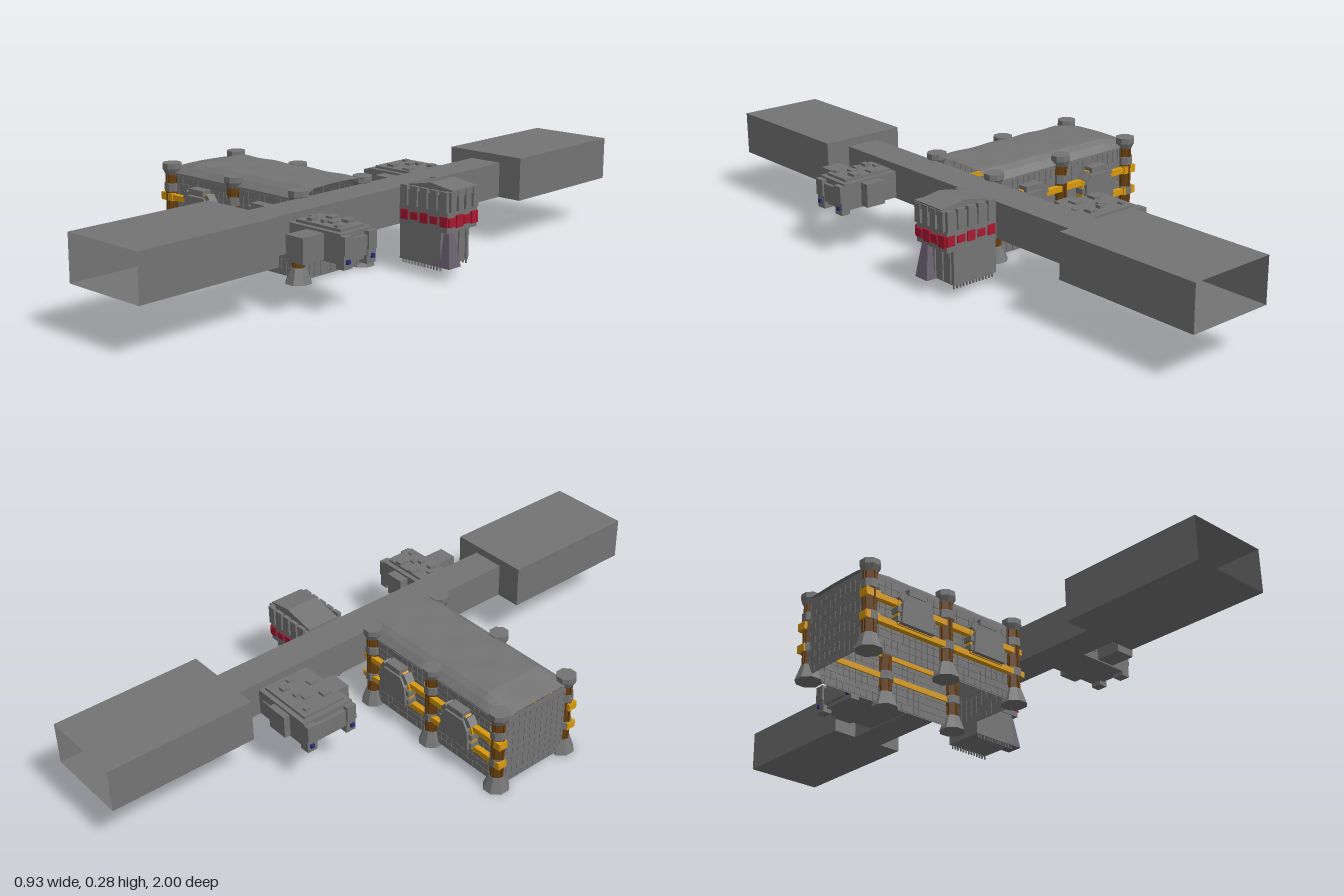
import * as THREE from 'three';
import { mergeGeometries } from 'three/addons/utils/BufferGeometryUtils.js';

const mat = (color, side = THREE.FrontSide) =>
  new THREE.MeshStandardMaterial({ color, flatShading: true, side });
const grey = mat(0x747474), thin = mat(0x747474, THREE.DoubleSide);
const yellow = mat(0xd8980c), brown = mat(0x68400f), red = mat(0xa81830), blue = mat(0x2c2c78), mauve = mat(0x6a6270);

function add(parent, name, geo, material = grey, x = 0, y = 0, z = 0) {
  const m = new THREE.Mesh(geo, material);
  m.name = name;
  m.position.set(x, y, z);
  parent.add(m);
  return m;
}
function group(parent, name) {
  const g = new THREE.Group();
  g.name = name;
  parent.add(g);
  return g;
}
// Box given by its limits on each axis
function boxGeo(x0, x1, y0, y1, z0, z1) {
  return new THREE.BoxGeometry(x1 - x0, y1 - y0, z1 - z0)
    .translate((x0 + x1) / 2, (y0 + y1) / 2, (z0 + z1) / 2);
}
const box = (p, name, lim, m) => add(p, name, boxGeo(...lim), m);
// Box missing some faces (order +x -x +y -y +z -z)
function openBox(p, name, lim, missing) {
  const g = boxGeo(...lim), idx = Array.from(g.index.array);
  g.setIndex(idx.filter((_, i) => !missing.includes(Math.floor(i / 6))));
  g.clearGroups();
  return add(p, name, g, thin);
}
// Arch outline: straight jambs with an elliptical head
function arch(Type, cx, half, y0, spring, top) {
  const s = new Type();
  s.moveTo(cx - half, y0);
  s.lineTo(cx - half, spring);
  s.absellipse(cx, spring, half, top - spring, Math.PI, 0, true);
  s.lineTo(cx + half, y0);
  s.closePath();
  return s;
}
const polygon = pts => new THREE.Shape(pts.map(([a, b]) => new THREE.Vector2(a, b)));
const extrude = (s, depth) => new THREE.ExtrudeGeometry(s, { depth, bevelEnabled: false, curveSegments: 10 });

// Long passage with a wide open-ended hall at each end
function buildPassage(root) {
  const g = group(root, 'passage');
  openBox(g, 'corridor', [0.145, 0.255, 0.145, 0.256, -0.53, 0.53], [4, 5]);
  for (const s of [-1, 1]) {
    const z = s > 0 ? [0.53, 1] : [-1, -0.53];
    openBox(g, 'endHall', [0.06, 0.335, 0.145, 0.281, ...z], [4, 5]);
    const wall = polygon([[0.06, 0.145], [0.335, 0.145], [0.335, 0.281], [0.06, 0.281]]);
    wall.holes.push(arch(THREE.Path, 0.2, 0.043, 0.1455, 0.195, 0.235));
    add(g, 'archWall', extrude(wall, 0.004), grey, 0, 0, s * 0.53 - 0.002);
    const frame = arch(THREE.Shape, 0.2, 0.05, 0.146, 0.196, 0.243);
    frame.holes.push(arch(THREE.Path, 0.2, 0.042, 0.147, 0.195, 0.234));
    add(g, 'archFrame', extrude(frame, 0.01), grey, 0, 0, s * 0.535 - 0.005);
  }
}

// Pillar: flared foot, brown shaft, collars and capital
function pillar(parent, x, z) {
  const g = group(parent, 'pillar');
  g.position.set(x, 0, z);
  const lathe = (name, pts, m = grey) =>
    add(g, name, new THREE.LatheGeometry(pts.map(([r, y]) => new THREE.Vector2(r, y)), 8, Math.PI / 8), m);
  lathe('foot', [[0, 0], [0.041, 0], [0.024, 0.048], [0, 0.048]]);
  lathe('shaft', [[0.022, 0.045], [0.022, 0.25]], brown);
  for (const y of [0.088, 0.187]) lathe('collar', [[0, y], [0.026, y], [0.026, y + 0.026], [0, y + 0.026]]);
  lathe('capital', [[0, 0.24], [0.022, 0.24], [0.031, 0.258], [0.031, 0.275], [0, 0.275]]);
  for (let i = 0; i < 4; i++) {
    const a = i * Math.PI / 2;
    add(g, 'rib', new THREE.BoxGeometry(0.006, 0.19, 0.006), brown, Math.cos(a) * 0.021, 0.145, Math.sin(a) * 0.021);
  }
}

// Large tiled hall standing on its pillars, open underneath
function buildHall(root) {
  const g = group(root, 'mainHall');
  const x0 = -0.44, x1 = 0.145, zc = 0.11, hw = 0.135;
  openBox(g, 'hallWalls', [x0, x1, 0.01, 0.25, zc - hw, zc + hw], [2, 3]);

  // Wall tiles, showing inside and out
  const tiles = [], size = 0.0225;
  for (let row = 0; row < 10; row++) {
    const y = 0.024 + row * size;
    for (let i = 0; i < 26; i++) for (const s of [-1, 1])
      tiles.push(new THREE.BoxGeometry(0.0213, 0.0213, 0.003).translate(x0 + 0.012 + i * size, y, zc + s * hw));
    for (let i = 0; i < 12; i++) for (const x of [x0, x1])
      tiles.push(new THREE.BoxGeometry(0.003, 0.0213, 0.0213).translate(x, y, zc + (i - 5.5) * size));
  }
  add(g, 'wallTiles', mergeGeometries(tiles));

  // Uneven crowned roof
  const roof = new THREE.PlaneGeometry(x1 - x0 + 0.01, 2 * hw + 0.01, 30, 14).rotateX(-Math.PI / 2);
  const p = roof.attributes.position;
  for (let i = 0; i < p.count; i++) {
    const x = p.getX(i), z = p.getZ(i);
    const edge = Math.min(1, (hw + 0.005 - Math.abs(z)) / 0.05);
    const end = Math.min(1, (x + 0.2975) / 0.1);
    const ripple = 0.0015 * Math.sin(x * 43 + 1) * Math.cos(z * 31);
    p.setY(i, 0.246 + Math.sin(edge * Math.PI / 2) * (0.012 + 0.02 * end + ripple));
  }
  add(g, 'roof', roof, thin, (x0 + x1) / 2, 0, zc);

  // Both long sides; dir keeps x positions equal on the turned side
  for (const dir of [-1, 1]) {
    const side = group(g, 'hallSide');
    side.position.z = zc;
    side.rotation.y = dir > 0 ? 0 : Math.PI;
    for (const x of [-0.427, -0.145, 0.125]) pillar(side, x * dir, hw);
    for (const y of [0.1, 0.17]) {
      add(side, 'beam', new THREE.BoxGeometry(0.61, 0.018, 0.026), yellow, -0.151 * dir, y, hw + 0.006);
      add(side, 'beamEnd', new THREE.BoxGeometry(0.05, 0.024, 0.032), yellow, -0.43 * dir, y, hw + 0.006);
    }
    // Arched bays with yellow and grey blocks round the edge
    for (const x of [-0.28, -0.005]) {
      const bay = group(side, 'archedBay');
      bay.position.set(x * dir, 0, hw);
      add(bay, 'bayRim', extrude(arch(THREE.Shape, 0, 0.064, 0.1, 0.155, 0.212), 0.024), yellow);
      add(bay, 'bayPanel', extrude(polygon([[-0.06, 0.102], [0.06, 0.102], [0.055, 0.165],
        [0.038, 0.194], [-0.038, 0.194], [-0.055, 0.165]]), 0.037));
      add(bay, 'keystone', new THREE.BoxGeometry(0.065, 0.018, 0.034), grey, 0, 0.207, 0.017);
      for (const e of [-1, 1]) {
        const k = add(bay, 'archBlock', new THREE.BoxGeometry(0.03, 0.016, 0.03), grey, e * 0.049, 0.19, 0.015);
        k.rotation.z = -e * 0.95;
        for (const y of [0.115, 0.145])
          add(bay, 'jambBlock', new THREE.BoxGeometry(0.012, 0.017, 0.03), grey, e * 0.063, y, 0.015);
      }
    }
  }
}

// Tall block with a red band, battlements and a flared buttress
function buildTower(root) {
  const g = group(root, 'tower');
  box(g, 'towerBase', [0.255, 0.41, 0.04, 0.15, -0.18, -0.05]);
  box(g, 'towerTop', [0.25, 0.435, 0.145, 0.255, -0.183, -0.047]);
  for (let i = 0; i < 13; i++) {
    const x = 0.265 + i * 0.0118;
    for (const z of [-0.175, -0.055]) add(g, 'bottomSpike', new THREE.BoxGeometry(0.003, 0.014, 0.006), grey, x, 0.035, z);
  }
  for (let i = 0; i < 5; i++) {
    const x = 0.275 + i * 0.037;
    for (const z of [-0.183, -0.047]) {
      add(g, 'battlement', new THREE.BoxGeometry(0.026, 0.06, 0.012), grey, x, 0.237, z);
      add(g, 'redPanel', new THREE.BoxGeometry(0.027, 0.03 - 0.008 * (i % 2), 0.008), red, x, 0.178, z);
    }
  }
  for (let i = 0; i < 4; i++) {
    const z = -0.166 + i * 0.034;
    add(g, 'battlement', new THREE.BoxGeometry(0.02, 0.06, 0.024), grey, 0.435, 0.237, z);
    add(g, 'redPanel', new THREE.BoxGeometry(0.012, 0.036 - 0.01 * (i % 2), 0.029), red, 0.436, 0.176, z);
    add(g, 'wallRib', new THREE.BoxGeometry(0.008, 0.1, 0.006), grey, 0.411, 0.095, z);
  }
  // Sloping roof falling toward the outer edge
  add(g, 'towerRoof', extrude(polygon([[0.255, 0.25], [0.442, 0.25], [0.442, 0.271], [0.36, 0.283], [0.255, 0.262]]), 0.11),
    grey, 0, 0, -0.17);
  const b = add(g, 'buttress', new THREE.CylinderGeometry(0.018, 0.042, 0.11, 4, 1).rotateY(Math.PI / 4), mauve, 0.415, 0.095, -0.075);
  b.scale.z = 0.9;
}

// Low pod hung on the passage; built along +x from its joint
function pod(root, name, x, z, turn, length, depth, wingIn, wingOut) {
  const g = group(root, name);
  g.position.set(x, 0, z);
  g.rotation.y = turn;
  const h = depth / 2;
  box(g, 'podBody', [0, length * 0.92, 0.148, 0.232, -h, h]);
  box(g, 'podRoof', [0.01, length * 0.85, 0.23, 0.24, -h + 0.015, h - 0.015]);
  box(g, 'crossWing', [length * 0.32, length * 0.63, 0.152, 0.225, -h - wingIn, h + wingOut]);
  box(g, 'nose', [length * 0.9, length * 0.97, 0.16, 0.215, -h + 0.03, h - 0.03]);
  for (const s of [-1, 1]) {
    box(g, 'noseBlock', [length * 0.84, length * 0.98, 0.135, 0.175, s * (h - 0.017) - 0.017, s * (h - 0.017) + 0.017]);
    box(g, 'noseCap', [length * 0.86, length, 0.175, 0.226, s * (h - 0.016) - 0.016, s * (h - 0.016) + 0.016]);
    box(g, 'lamp', [length * 0.97, length + 0.002, 0.15, 0.162, s * (h - 0.014) - 0.006, s * (h - 0.014) + 0.006], blue);
    add(g, 'sideVent', new THREE.BoxGeometry(length * 0.18, 0.03, 0.008), grey, length * 0.18, 0.19, s * h);
  }
  // Roof plant
  for (let i = 0; i < 7; i++) {
    const w = 0.014 + 0.005 * (i % 3);
    add(g, 'roofUnit', new THREE.BoxGeometry(w, 0.008 + 0.005 * (i % 2), w * 1.3), grey,
      length * (0.14 + 0.1 * i), 0.242, Math.sin(i * 2.3) * h * 0.55);
  }
}

export function createModel() {
  const root = new THREE.Group();
  root.name = 'outpost';
  buildPassage(root);
  buildHall(root);
  buildTower(root);
  pod(root, 'frontPod', 0.255, 0.347, 0, 0.207, 0.125, 0.03, 0.08);
  pod(root, 'rearPod', 0.145, -0.355, Math.PI, 0.232, 0.175, 0.042, 0.02);
  return root;
}
